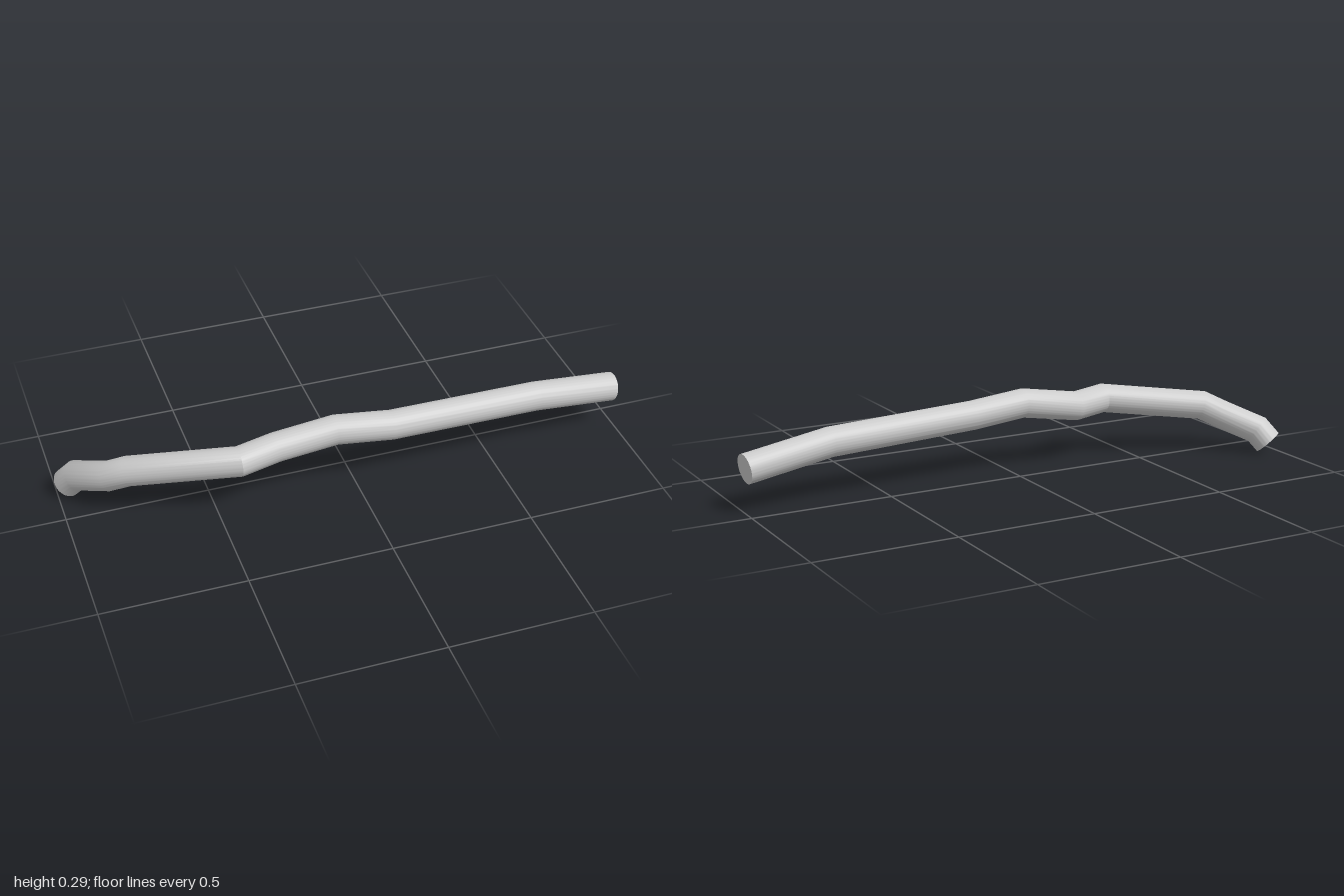
import * as THREE from 'three';
import { toCreasedNormals } from 'three/addons/utils/BufferGeometryUtils.js';

const RADIUS = 0.052;
const SIDES = 64;

// Centre line of the bent rod, from its left end to its drooping right end
const PATH = [
  [0.992, 0.151, 0.068], [0.68, 0.196, 0.094], [0.13, 0.215, 0.115],
  [-0.07, 0.237, 0.108], [-0.28, 0.204, 0.095], [-0.42, 0.208, 0.137],
  [-0.777, 0.165, 0.012], [-0.838, 0.132, -0.025],
  [-0.932, 0.083, -0.127], [-0.962, 0.038, -0.156],
].map((p) => new THREE.Vector3(...p));

// Sweeps a circle along straight segments with mitred joints and flat end caps
function mitredRod(path, radius, sides) {
  const last = path.length - 1;
  const dirs = path.slice(1).map((p, i) => p.clone().sub(path[i]).normalize());
  const u = new THREE.Vector3(0, 1, 0).cross(dirs[0]).normalize();
  const v = dirs[0].clone().cross(u);
  let ring = Array.from({ length: sides }, (_, k) => {
    const a = (k / sides) * Math.PI * 2;
    return path[0].clone()
      .addScaledVector(u, Math.cos(a) * radius)
      .addScaledVector(v, Math.sin(a) * radius);
  });

  const positions = [];
  const index = [];
  path.forEach((centre, i) => {
    if (i > 0) {
      // Slide the previous ring along its segment onto the mitre plane
      const d = dirs[i - 1];
      const normal = d.clone().add(dirs[Math.min(i, last - 1)]).normalize();
      ring = ring.map((p) => p.clone().addScaledVector(
        d, centre.clone().sub(p).dot(normal) / d.dot(normal)));
    }
    ring.forEach((p) => positions.push(p.x, p.y, p.z));
  });
  const startCap = positions.length / 3;
  [path[0], path[last]].forEach((p) => positions.push(p.x, p.y, p.z));

  for (let k = 0; k < sides; k++) {
    const n = (k + 1) % sides;
    for (let i = 0; i < last; i++) {
      const a = i * sides, b = a + sides;
      index.push(a + k, a + n, b + n, a + k, b + n, b + k);
    }
    index.push(startCap, n, k, startCap + 1, last * sides + k, last * sides + n);
  }

  const geometry = new THREE.BufferGeometry();
  geometry.setAttribute('position', new THREE.Float32BufferAttribute(positions, 3));
  geometry.setIndex(index);
  return toCreasedNormals(geometry, 0.54);
}

export function createModel() {
  const group = new THREE.Group();
  group.name = 'bentRod';
  const rod = new THREE.Mesh(
    mitredRod(PATH, RADIUS, SIDES),
    new THREE.MeshStandardMaterial({ color: 0xcccccc }));
  rod.name = 'rod';
  group.add(rod);
  return group;
}
